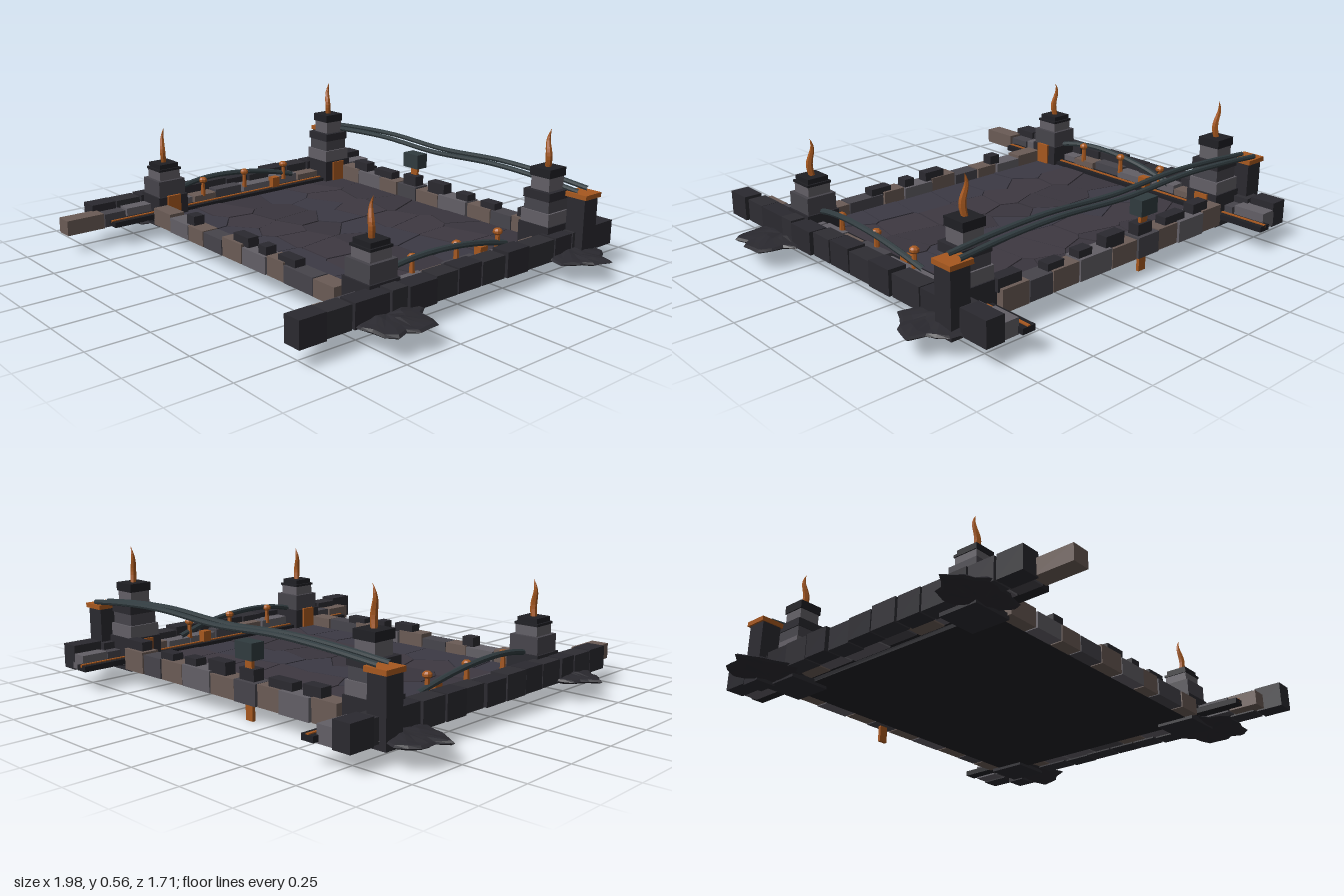
import * as THREE from 'three';

const DARK = 0x2a292f, BLACK = 0x1f1f24, GREY = 0x625f66, MID = 0x46444b, BROWN = 0x6a5b55;
const ORANGE = 0xa6581f, TEAL = 0x303b3f, TILES = [0x39353d, 0x3d3841, 0x3b3944];

let seed = 7;
const rnd = () => (seed = (seed * 16807) % 2147483647) / 2147483647;
const vary = (a) => (rnd() - 0.5) * 2 * a;

const mats = {};
const mat = (color) => (mats[color] ??= new THREE.MeshStandardMaterial({ color, flatShading: true }));

function add(parent, name, geo, color, x = 0, y = 0, z = 0) {
  const m = new THREE.Mesh(geo, mat(color));
  m.name = name;
  m.position.set(x, y, z);
  parent.add(m);
  return m;
}

// Box given by its extents
const block = (p, name, color, x0, x1, y0, y1, z0, z1) =>
  add(p, name, new THREE.BoxGeometry(x1 - x0, y1 - y0, z1 - z0), color, (x0 + x1) / 2, (y0 + y1) / 2, (z0 + z1) / 2);

function subgroup(parent, name) {
  const g = new THREE.Group();
  g.name = name;
  parent.add(g);
  return g;
}

// Uneven cuts that divide a length into stones
function cuts(a, b, n) {
  const step = (b - a) / n;
  return Array.from({ length: n + 1 }, (_, i) => a + i * step + (i > 0 && i < n ? vary(step * 0.2) : 0));
}

// Keep the part of a polygon that is nearer to p than to q, less a small joint
function clip(poly, p, q, gap) {
  const dx = q[0] - p[0], dz = q[1] - p[1], len = Math.hypot(dx, dz);
  const d = (v) => ((v[0] - p[0]) * dx + (v[1] - p[1]) * dz) / len - len / 2 + gap;
  const out = [];
  poly.forEach((a, i) => {
    const b = poly[(i + 1) % poly.length], da = d(a), db = d(b);
    if (da <= 0) out.push(a);
    if (da * db < 0) out.push([a[0] + ((b[0] - a[0]) * da) / (da - db), a[1] + ((b[1] - a[1]) * da) / (da - db)]);
  });
  return out;
}

// Cracked paving: irregular cells over a dark slab
function floor(parent) {
  const g = subgroup(parent, 'floor');
  block(g, 'floorSlab', BLACK, -0.66, 0.66, 0.068, 0.085, -0.62, 0.42);
  const pts = [];
  for (let i = 0; i < 7; i++)
    for (let j = 0; j < 6; j++)
      pts.push([-0.64 + (i + 0.5 + vary(0.36)) * 0.183, -0.6 + (j + 0.5 + vary(0.36)) * 0.167]);
  pts.forEach((p, i) => {
    let poly = [[-0.64, -0.6], [0.64, -0.6], [0.64, 0.4], [-0.64, 0.4]];
    pts.forEach((q) => { if (q !== p) poly = clip(poly, p, q, 0.002); });
    const shape = new THREE.Shape(poly.map(([x, z]) => new THREE.Vector2(x, -z)));
    const geo = new THREE.ExtrudeGeometry(shape, { depth: 0.01 + rnd() * 0.003, bevelEnabled: false });
    add(g, 'pavingStone', geo.rotateX(-Math.PI / 2), TILES[i % 3], 0, 0.083, 0);
  });
}

// Low wall across the front or back, with loose stones on top
function crossWall(parent, name, z0, z1, top, loose) {
  const g = subgroup(parent, name), c = cuts(-0.61, 0.61, 9);
  for (let i = 0; i < 9; i++)
    block(g, 'wallStone', [BROWN, GREY, BROWN, MID][i % 4], c[i] + 0.003, c[i + 1] - 0.003,
      0.07, top + vary(0.008), z0 + vary(0.005), z1 + vary(0.005));
  for (const [x, w, h] of loose) {
    const z = (z0 + z1) / 2;
    block(g, 'looseStone', DARK, x - w / 2, x + w / 2, top - 0.01, h, z - 0.025, z + 0.025);
  }
}

// Side wall: dark outer stones, lighter inner stones, inlaid rail
function sideWall(parent, s, outerEnd, innerEnd) {
  const g = subgroup(parent, s > 0 ? 'leftWall' : 'rightWall');
  const row = (name, n, end, x, w, y0, top, colors) => {
    const c = cuts(-0.84, end, n);
    for (let i = 0; i < n; i++) {
      const m = s * (x + vary(0.008));
      block(g, name, colors[i % colors.length], m - w / 2, m + w / 2, y0, top + vary(0.006), c[i] + 0.004, c[i + 1] - 0.004);
    }
  };
  row('outerStone', 13, outerEnd, 0.775, 0.078, 0.072, 0.168, [DARK, 0x2e2d33]);
  row('innerStone', 11, innerEnd, 0.715, 0.075, 0.078, 0.14, [GREY, MID, BROWN, GREY]);
  const rail = (name, color, w, y0, y1) => block(g, name, color, s * 0.655 - w / 2, s * 0.655 + w / 2, y0, y1, -0.86, 0.65);
  rail('rail', BLACK, 0.056, 0.085, 0.108);
  rail('railInlay', ORANGE, 0.012, 0.1, 0.112);
  block(g, 'railClasp', ORANGE, s * 0.66 - 0.017, s * 0.66 + 0.017, 0.1, 0.155, -0.24, -0.2);

  // Arched pipe with knobs
  const path = new THREE.CatmullRomCurve3([[0.675, 0.165, 0.36], [0.685, 0.19, 0.28], [0.695, 0.208, 0.13],
    [0.695, 0.2, -0.06], [0.69, 0.175, -0.22], [0.68, 0.145, -0.34]].map(([x, y, z]) => new THREE.Vector3(s * x, y, z)));
  add(g, 'archedPipe', new THREE.TubeGeometry(path, 24, 0.012, 7), TEAL);
  for (const z of [0.17, -0.06, -0.29]) {
    add(g, 'knobStem', new THREE.CylinderGeometry(0.008, 0.012, 0.07, 6), ORANGE, s * 0.68, 0.165, z);
    add(g, 'knob', new THREE.SphereGeometry(0.02, 8, 5).scale(1, 0.75, 1), ORANGE, s * 0.68, 0.203, z);
  }
}

// Tapered flame bent into an S
function flame(parent, x, y, z) {
  const geo = new THREE.CylinderGeometry(1, 1, 0.15, 6, 10), p = geo.attributes.position;
  for (let i = 0; i < p.count; i++) {
    const t = p.getY(i) / 0.15 + 0.5;
    const r = 0.012 * (1 - t) * (1 + 1.8 * t) + 0.0005;
    p.setXYZ(i, p.getX(i) * r + 0.009 * Math.sin(t * 6.5) * (0.4 + t * 0.6), t * 0.15, p.getZ(i) * r + 0.005 * Math.sin(t * 5));
  }
  geo.computeVertexNormals();
  add(parent, 'flame', geo, ORANGE, x, y, z);
}

// Stepped corner tower; tiers are [width, bottom, top, colour]
function tower(parent, s, z, tiers) {
  const g = subgroup(parent, 'tower'), x = s * 0.682;
  for (const [w, y0, y1, color] of tiers)
    block(g, 'towerTier', color, x - w / 2, x + w / 2, y0, y1, z - w / 2, z + w / 2);
  block(g, 'towerPlate', ORANGE, s * 0.606 - 0.006, s * 0.606 + 0.006, 0.09, 0.185, z - 0.032, z + 0.032);
  flame(g, x, tiers.at(-1)[2], z);
}

// Flat jagged rubble under a corner
function rubble(parent, x, z, rx, rz, phase) {
  const geo = new THREE.SphereGeometry(1, 22, 8), p = geo.attributes.position;
  for (let i = 0; i < p.count; i++) {
    const a = Math.atan2(p.getZ(i), p.getX(i));
    const k = 0.92 + 0.1 * Math.sin(a * 5 + phase) + 0.07 * Math.sin(a * 9 + phase * 2);
    const lump = 1 + 0.35 * Math.sin(p.getX(i) * 9 + phase) * Math.cos(p.getZ(i) * 8);
    p.setXYZ(i, p.getX(i) * rx * k, p.getY(i) * 0.018 * lump, p.getZ(i) * rz * k);
  }
  geo.computeVertexNormals();
  add(parent, 'rubble', geo, DARK, x, 0.08, z);
}

export function createModel() {
  const model = new THREE.Group();
  model.name = 'courtyard';

  floor(model);
  crossWall(model, 'frontWall', 0.4, 0.472, 0.142,
    [[-0.33, 0.055, 0.175], [0.03, 0.1, 0.18], [0.17, 0.05, 0.175], [0.32, 0.1, 0.17]]);
  crossWall(model, 'backWall', -0.68, -0.602, 0.155,
    [[-0.48, 0.09, 0.198], [-0.32, 0.12, 0.188], [-0.14, 0.08, 0.2], [0.03, 0.1, 0.2], [0.19, 0.07, 0.185], [0.34, 0.08, 0.18], [0.56, 0.11, 0.195]]);
  sideWall(model, 1, 0.8, 0.72);
  sideWall(model, -1, 0.7, 0.85);

  for (const s of [1, -1]) {
    tower(model, s, 0.37, [[0.17, 0.056, 0.08, DARK], [0.145, 0.08, 0.18, DARK], [0.13, 0.18, 0.25, MID],
      [0.1, 0.25, 0.29, GREY], [0.108, 0.29, 0.3, BLACK], [0.092, 0.3, 0.32, BLACK]]);
    tower(model, s, -0.575, [[0.17, 0.056, 0.08, DARK], [0.15, 0.08, 0.19, DARK], [0.138, 0.19, 0.242, GREY],
      [0.122, 0.242, 0.29, MID], [0.13, 0.29, 0.325, DARK], [0.09, 0.325, 0.38, GREY], [0.1, 0.38, 0.415, BLACK]]);

    // Back posts with caps
    const px = s * 0.8;
    block(model, 'backPost', DARK, px - 0.042, px + 0.042, 0.05, 0.305, -0.692, -0.61);
    block(model, 'postCap', ORANGE, px - 0.05, px + 0.05, 0.303, 0.322, -0.702, -0.605);
  }

  // Twin sagging pipes between the posts
  for (const [z, lift] of [[-0.685, 0.004], [-0.625, 0]]) {
    const path = new THREE.CatmullRomCurve3([[-0.8, 0.325], [-0.6, 0.34], [-0.32, 0.35], [0, 0.338], [0.35, 0.352], [0.6, 0.343], [0.8, 0.325]]
      .map(([x, y]) => new THREE.Vector3(x, y + lift, z)));
    add(model, 'backPipe', new THREE.TubeGeometry(path, 40, 0.011, 8), TEAL);
  }

  // Marker on a thin stake in the back wall
  block(model, 'stake', ORANGE, -0.16, -0.122, 0, 0.245, -0.695, -0.682).position.z = -0.651;
  block(model, 'markerHead', TEAL, -0.188, -0.096, 0.236, 0.302, -0.682, -0.622);

  rubble(model, -0.81, -0.58, 0.185, 0.14, 0.5);
  rubble(model, 0.79, -0.585, 0.185, 0.145, 2.1);
  rubble(model, 0.81, 0.415, 0.185, 0.16, 4);
  rubble(model, -0.77, 0.46, 0.17, 0.12, 5.2);
  return model;
}
